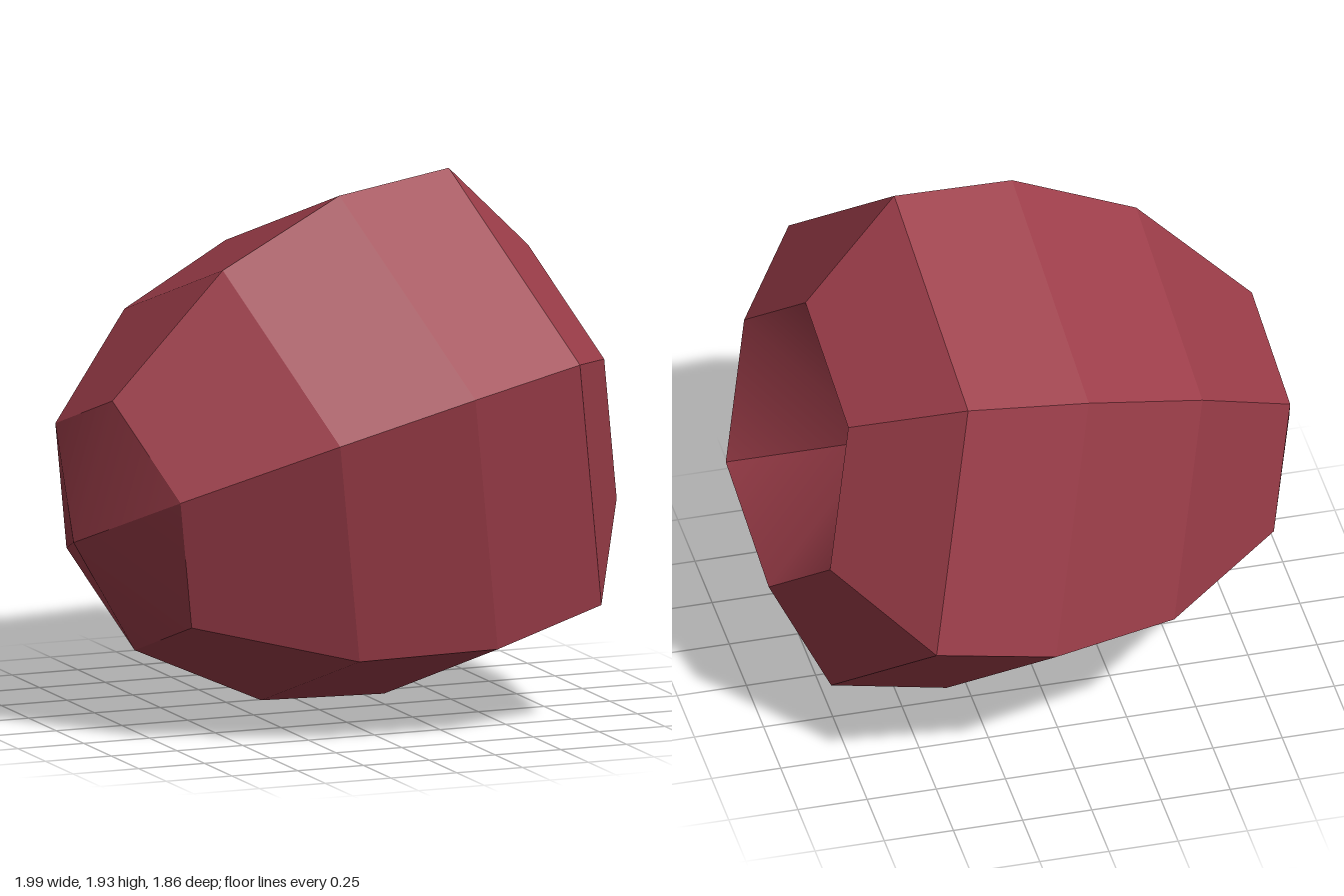
import * as THREE from 'three';

const SIDES = 6;

// Point on a six-sided ring around the local z axis
function ringPoint([t, r], i) {
  const angle = (i / SIDES) * Math.PI * 2;
  return [r * Math.cos(angle), r * Math.sin(angle), t];
}

// Each quad keeps its own corners, so normals blend inside a quad but stay sharp between quads
function quadGeometry(quads) {
  const index = [];
  quads.forEach((q, k) => {
    const n = k * 4;
    index.push(n, n + 1, n + 3, n + 1, n + 2, n + 3);
  });
  const geometry = new THREE.BufferGeometry();
  geometry.setAttribute('position', new THREE.Float32BufferAttribute(quads.flat(2), 3));
  geometry.setIndex(index);
  geometry.computeVertexNormals();
  return geometry;
}

export function createModel() {
  const group = new THREE.Group();
  group.name = 'hollowPod';
  const red = new THREE.MeshStandardMaterial({ color: 0x9c3d49 });
  red.name = 'dullRed';

  // Rings as [distance along axis, radius], from narrow end to rim of the hollow
  const rings = [[-1.43, 0.487], [-0.941, 0.84], [-0.4475, 0.973], [0, 0.938], [0.29, 0.545]];
  const first = rings[0];
  const rim = rings[rings.length - 1];
  const tipPoint = [0, 0, -1.636];
  const pitPoint = [0, 0, -0.07];

  const band = (lower, upper) => Array.from({ length: SIDES }, (_, i) => [
    ringPoint(lower, i), ringPoint(lower, i + 1), ringPoint(upper, i + 1), ringPoint(upper, i),
  ]);

  // Faceted outer wall and bevelled rim
  const wall = [];
  for (let k = 0; k < rings.length - 2; k++) wall.push(...band(rings[k], rings[k + 1]));
  const bevel = band(rings[rings.length - 2], rim);

  // Pointed end and sunken hollow, each made of three bent quads
  const tip = [1, 3, 5].map((i) => [
    ringPoint(first, i + 2), ringPoint(first, i + 1), ringPoint(first, i), tipPoint,
  ]);
  const hollow = [0, 2, 4].map((i) => [
    ringPoint(rim, i), ringPoint(rim, i + 1), ringPoint(rim, i + 2), pitPoint,
  ]);

  // Tilted axis, running mostly along x
  const axis = new THREE.Vector3(0.972, 0.199, -0.122).normalize();
  const side = new THREE.Vector3().crossVectors(axis, new THREE.Vector3(-0.171, 0.965, 0.203)).normalize();
  const up = new THREE.Vector3().crossVectors(side, axis);
  const tilt = new THREE.Matrix4().makeBasis(up, side, axis).setPosition(0.59, 1.035, -0.04);

  const parts = { outerWall: wall, rimBevel: bevel, pointedEnd: tip, innerHollow: hollow };
  for (const [name, quads] of Object.entries(parts)) {
    const mesh = new THREE.Mesh(quadGeometry(quads).applyMatrix4(tilt), red);
    mesh.name = name;
    group.add(mesh);
  }
  return group;
}
